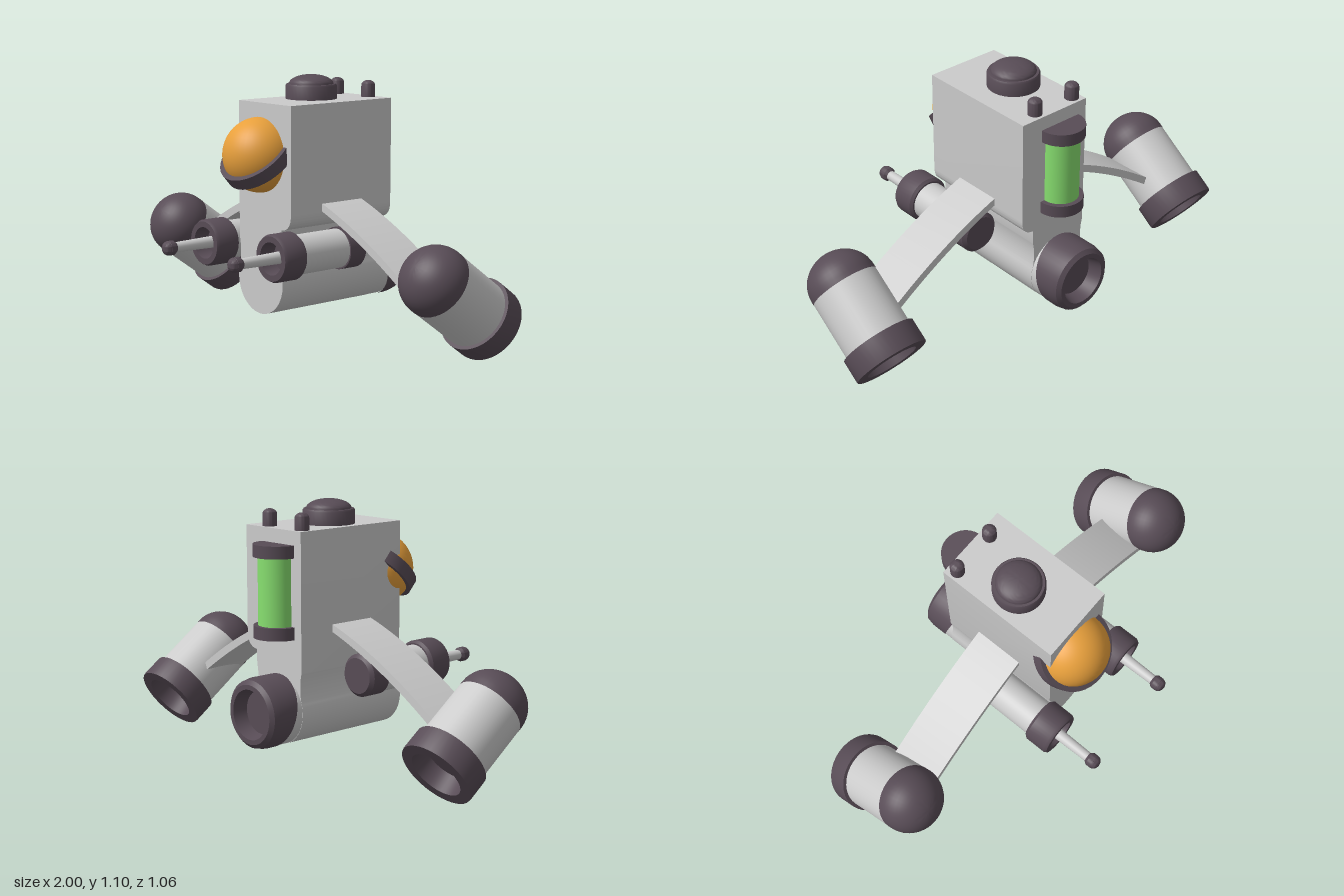
import * as THREE from 'three';
import { toCreasedNormals } from 'three/addons/utils/BufferGeometryUtils.js';

const mat = (color) => new THREE.MeshStandardMaterial({ color });

export function createModel() {
  const grey = mat(0xcccccc), dark = mat(0x584c56), orange = mat(0xe8a03c), green = mat(0x88e070);
  const model = new THREE.Group();

  const add = (parent, name, geometry, material, x = 0, y = 0, z = 0, rx = 0) => {
    const mesh = new THREE.Mesh(geometry, material);
    mesh.name = name;
    mesh.position.set(x, y, z);
    mesh.rotation.x = rx;
    parent.add(mesh);
    return mesh;
  };
  // Turned part, profile given as [radius, height] from bottom to top
  const turned = (points) =>
    toCreasedNormals(new THREE.LatheGeometry(points.map(([r, h]) => new THREE.Vector2(r, h)), 40), 0.6);
  // Quarter arc of a dome, used as the top of a turned profile
  const dome = (r, base, height, n = 12) =>
    Array.from({ length: n + 1 }, (_, i) => {
      const a = (i / n) * Math.PI / 2;
      return [i === n ? 0 : r * Math.cos(a), base + height * Math.sin(a)];
    });
  const extruded = (shape, depth) =>
    toCreasedNormals(new THREE.ExtrudeGeometry(shape, { depth, bevelEnabled: false, curveSegments: 24 }), 0.5);

  // Hull: upright block overhanging on one side, rounded keel below
  const hull = new THREE.Shape();
  hull.moveTo(-0.14, 1);
  hull.lineTo(-0.14, 0.42);
  hull.quadraticCurveTo(-0.125, 0.36, -0.138, 0.3);
  hull.absarc(0, 0.25, 0.147, Math.PI - 0.35, Math.PI * 2 + 0.35, false);
  hull.quadraticCurveTo(0.125, 0.36, 0.14, 0.42);
  hull.lineTo(0.14, 0.48);
  hull.quadraticCurveTo(0.2, 0.485, 0.2, 0.55);
  hull.lineTo(0.2, 1);
  hull.closePath();
  add(model, 'hull', extruded(hull, 0.56), grey, 0, 0, -0.37);

  // Cockpit bubble and its tilted band
  add(model, 'cockpitBubble', new THREE.SphereGeometry(0.158, 40, 28), orange, 0, 0.782, 0.19);
  add(model, 'cockpitBand',
    turned([[0.15, -0.028], [0.175, -0.028], [0.175, 0.028], [0.15, 0.028]]),
    dark, 0, 0.785, 0.195, 0.735);

  // Hatch and two stubs on the roof
  add(model, 'roofHatch', turned([[0, 0], [0.11, 0], [0.11, 0.055], [0.105, 0.063], ...dome(0.095, 0.063, 0.04)]),
    dark, 0, 1, -0.09);
  for (const x of [-0.1, 0.1]) {
    add(model, 'roofStub', turned([[0, 0], [0.03, 0], [0.03, 0.05], ...dome(0.03, 0.05, 0.022, 6)]),
      dark, x, 1, -0.328);
  }

  // Canister on the back
  add(model, 'canister', new THREE.CylinderGeometry(0.08, 0.08, 0.3, 40), green, 0, 0.748, -0.375);
  for (const y of [0.58, 0.915]) {
    add(model, 'canisterCap', new THREE.CylinderGeometry(0.1, 0.1, 0.052, 40), dark, 0, y, -0.375);
  }

  // Tail exhaust: keel runs on under a dark nozzle with a slanted front edge
  add(model, 'keelEnd', new THREE.CylinderGeometry(0.146, 0.146, 0.08, 40, 1, true), grey,
    0, 0.25, -0.4, Math.PI / 2);
  const nozzle = new THREE.LatheGeometry([
    [0.149, 0], [0.149, 0.11], [0.142, 0.145], [0.125, 0.16], [0.105, 0.16], [0.09, 0.1], [0, 0.1],
  ].map(([r, h]) => new THREE.Vector2(r, h)), 40);
  nozzle.rotateX(-Math.PI / 2);
  const np = nozzle.attributes.position;
  for (let i = 0; i < np.count; i++) {
    if (np.getZ(i) > -0.01) np.setZ(i, -0.035 + np.getY(i) * 0.235);
  }
  add(model, 'tailNozzle', toCreasedNormals(nozzle, 0.6), dark, 0, 0.25, -0.37);

  // Shared turned shapes for both sides
  const muzzle = turned([[0, 0], [0.09, 0], [0.1, 0.012], [0.1, 0.105], [0.093, 0.118], [0.068, 0.118], [0.06, 0.05], [0, 0.05]]);
  const gunCap = turned([[0, 0], [0.075, 0], [0.09, 0.015], [0.09, 0.1], [0, 0.1]]);
  const barrelTip = turned([[0, 0], [0.022, 0], [0.031, 0.012], [0.031, 0.035], ...dome(0.03, 0.036, 0.024, 8)]);
  const engineRing = turned([[0, 0.08], [0.1, 0.08], [0.112, 0], [0.158, 0], [0.16, 0.008], [0.16, 0.102], [0.14, 0.102]]);
  const engineNose = turned([[0.146, 0.36], ...dome(0.146, 0.38, 0.135)]);

  for (const s of [-1, 1]) {
    const side = s > 0 ? 'left' : 'right';

    // Gun, pointing forward
    const gun = new THREE.Group();
    gun.name = side + 'Gun';
    gun.position.set(0.225 * s, 0.39, 0);
    gun.rotation.x = Math.PI / 2;
    add(gun, 'gunBody', new THREE.CylinderGeometry(0.083, 0.083, 0.32, 40), grey, 0, 0.07);
    add(gun, 'gunRearCap', gunCap, dark, 0, -0.14);
    add(gun, 'gunMuzzle', muzzle, dark, 0, 0.2);
    add(gun, 'gunBarrel', new THREE.CylinderGeometry(0.021, 0.026, 0.25, 24), grey, 0, 0.365);
    add(gun, 'gunTip', barrelTip, dark, 0, 0.47);
    model.add(gun);

    // Curved arm
    const arm = new THREE.Shape();
    arm.moveTo(0.1 * s, 0.615);
    arm.quadraticCurveTo(0.43 * s, 0.515, 0.75 * s, 0.28);
    arm.lineTo(0.75 * s, 0.24);
    arm.quadraticCurveTo(0.43 * s, 0.475, 0.1 * s, 0.585);
    arm.closePath();
    add(model, side + 'Arm', extruded(arm, 0.22), grey, 0, 0, -0.2);

    // Engine pod, tilted nose up
    const engine = new THREE.Group();
    engine.name = side + 'Engine';
    engine.position.set(0.84 * s, 0.135, -0.31);
    engine.rotation.x = 0.951;
    add(engine, 'engineBody', new THREE.CylinderGeometry(0.145, 0.145, 0.3, 40), grey, 0, 0.235);
    add(engine, 'engineRing', engineRing, dark);
    add(engine, 'engineNose', engineNose, dark);
    model.add(engine);
  }
  return model;
}
